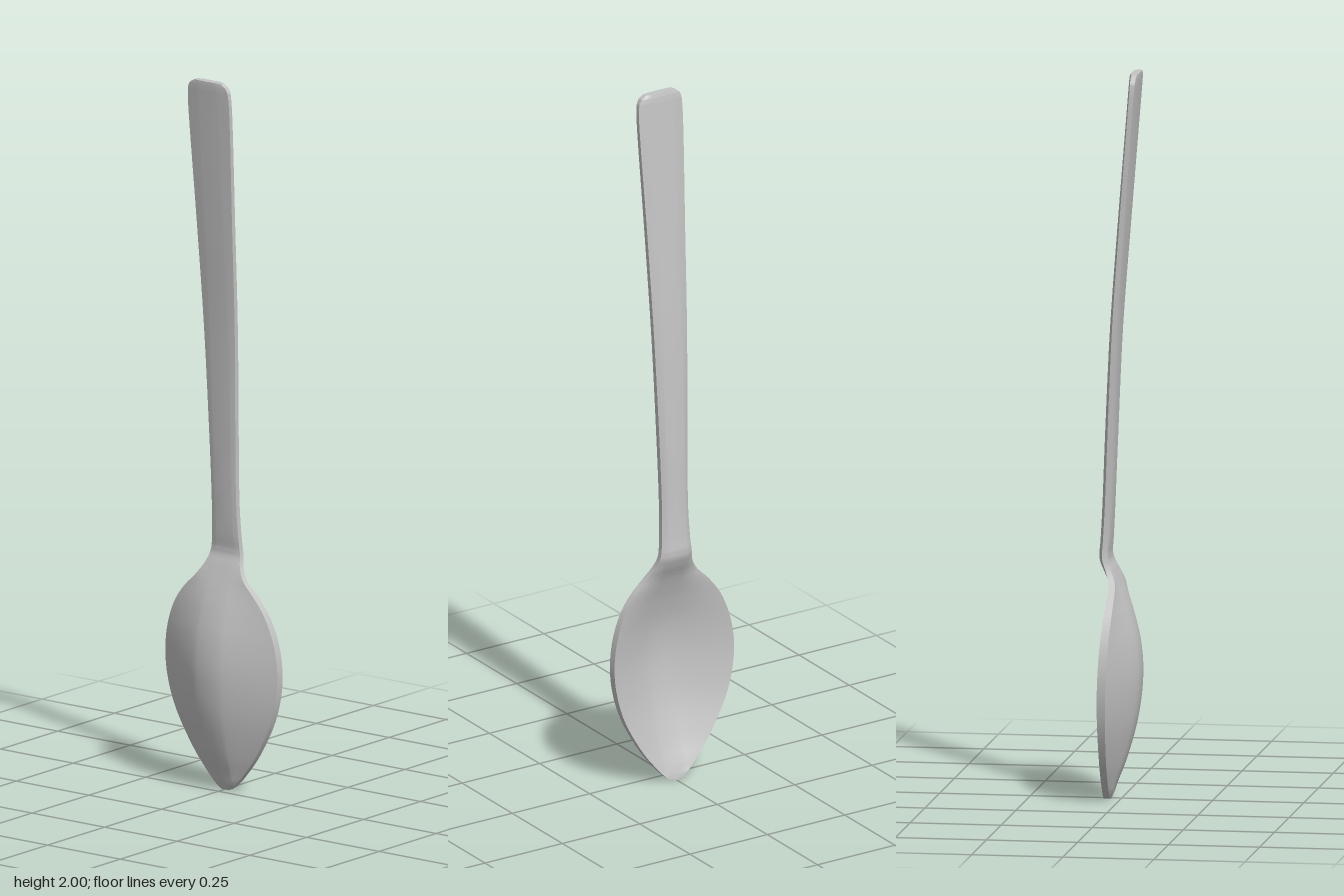
import * as THREE from 'three';
import { toCreasedNormals } from 'three/addons/utils/BufferGeometryUtils.js';

// Stations from bowl tip to handle end:
// height, half width, front z at edge, front z at middle, back z at edge, back z at middle
const STATIONS = [
  [0.005, 0.014, -0.030, -0.028, -0.047, -0.048],
  [0.02, 0.034, -0.029, -0.023, -0.047, -0.045],
  [0.05, 0.062, -0.028, -0.013, -0.046, -0.036],
  [0.11, 0.108, -0.025, 0.010, -0.044, -0.014],
  [0.20, 0.158, -0.020, 0.036, -0.041, 0.012],
  [0.28, 0.184, -0.016, 0.050, -0.039, 0.026],
  [0.36, 0.193, -0.013, 0.055, -0.036, 0.031],
  [0.44, 0.183, -0.009, 0.048, -0.032, 0.024],
  [0.51, 0.157, -0.005, 0.031, -0.027, 0.007],
  [0.56, 0.122, -0.003, 0.014, -0.023, -0.010],
  [0.60, 0.083, -0.005, -0.002, -0.022, -0.026],
  [0.635, 0.060, -0.018, -0.016, -0.034, -0.044],
  [0.67, 0.050, -0.031, -0.029, -0.046, -0.056],
  [0.72, 0.045, -0.029, -0.026, -0.044, -0.053],
  [0.82, 0.042, -0.024, -0.021, -0.039, -0.048],
  [1.00, 0.045, -0.017, -0.014, -0.032, -0.041],
  [1.30, 0.053, -0.004, -0.001, -0.018, -0.027],
  [1.60, 0.061, 0.018, 0.021, 0.004, -0.005],
  [1.85, 0.069, 0.037, 0.040, 0.024, 0.015],
  [1.95, 0.070, 0.045, 0.048, 0.032, 0.023],
  [1.985, 0.064, 0.048, 0.051, 0.034, 0.026],
  [2.00, 0.045, 0.049, 0.051, 0.035, 0.029],
];

// Positions across the width: flat middle, then falling away to the edge
function profile(width) {
  const flat = Math.min(0.65, 0.03 / width);
  const half = [[0, 1]];
  for (let i = 0; i <= 8; i++) {
    const v = i / 8;
    half.push([flat + (1 - flat) * v, 1 - Math.pow(v, 1.2)]);
  }
  const mirrored = half.slice(1).reverse().map(([u, s]) => [-u, s]);
  return mirrored.concat(half);
}

function spoonGeometry() {
  const spline = (f) => new THREE.CatmullRomCurve3(
    STATIONS.map(f), false, 'catmullrom', 0.5);
  const outline = spline((s) => new THREE.Vector3(s[1], s[0], s[2]));
  const depth = spline((s) => new THREE.Vector3(s[3], s[4], s[5]));
  const rows = (STATIONS.length - 1) * 5;
  const positions = [], index = [];
  let n = 0;

  // Closed cross-sections: front left to right, then back right to left
  for (let i = 0; i <= rows; i++) {
    const o = outline.getPoint(i / rows), d = depth.getPoint(i / rows);
    const pts = profile(o.x);
    n = pts.length;
    const y = Math.min(o.y, 2);
    for (const [u, s] of pts) positions.push(u * o.x, y, o.z + (d.x - o.z) * s);
    for (const [u, s] of pts.reverse()) positions.push(u * o.x, y, d.y + (d.z - d.y) * s);
  }

  // Skin between neighbouring sections
  const loop = 2 * n;
  for (let i = 0; i < rows; i++) {
    for (let j = 0; j < loop; j++) {
      const a = i * loop + j, b = i * loop + (j + 1) % loop;
      index.push(a, b, b + loop, a, b + loop, a + loop);
    }
  }
  // End caps
  const top = rows * loop;
  for (let k = 0; k < n - 1; k++) {
    const a = k, b = k + 1, c = loop - 2 - k, d = loop - 1 - k;
    index.push(top + a, top + b, top + c, top + a, top + c, top + d);
    index.push(a, c, b, a, d, c);
  }

  const geometry = new THREE.BufferGeometry();
  geometry.setAttribute('position', new THREE.Float32BufferAttribute(positions, 3));
  geometry.setIndex(index);
  return toCreasedNormals(geometry, 0.8);
}

export function createModel() {
  const steel = new THREE.MeshStandardMaterial({ color: 0xc4c4c4 });
  steel.name = 'steel grey';
  const group = new THREE.Group();
  group.name = 'spoon';
  const body = new THREE.Mesh(spoonGeometry(), steel);
  body.name = 'bowlAndHandle';
  group.add(body);
  return group;
}
